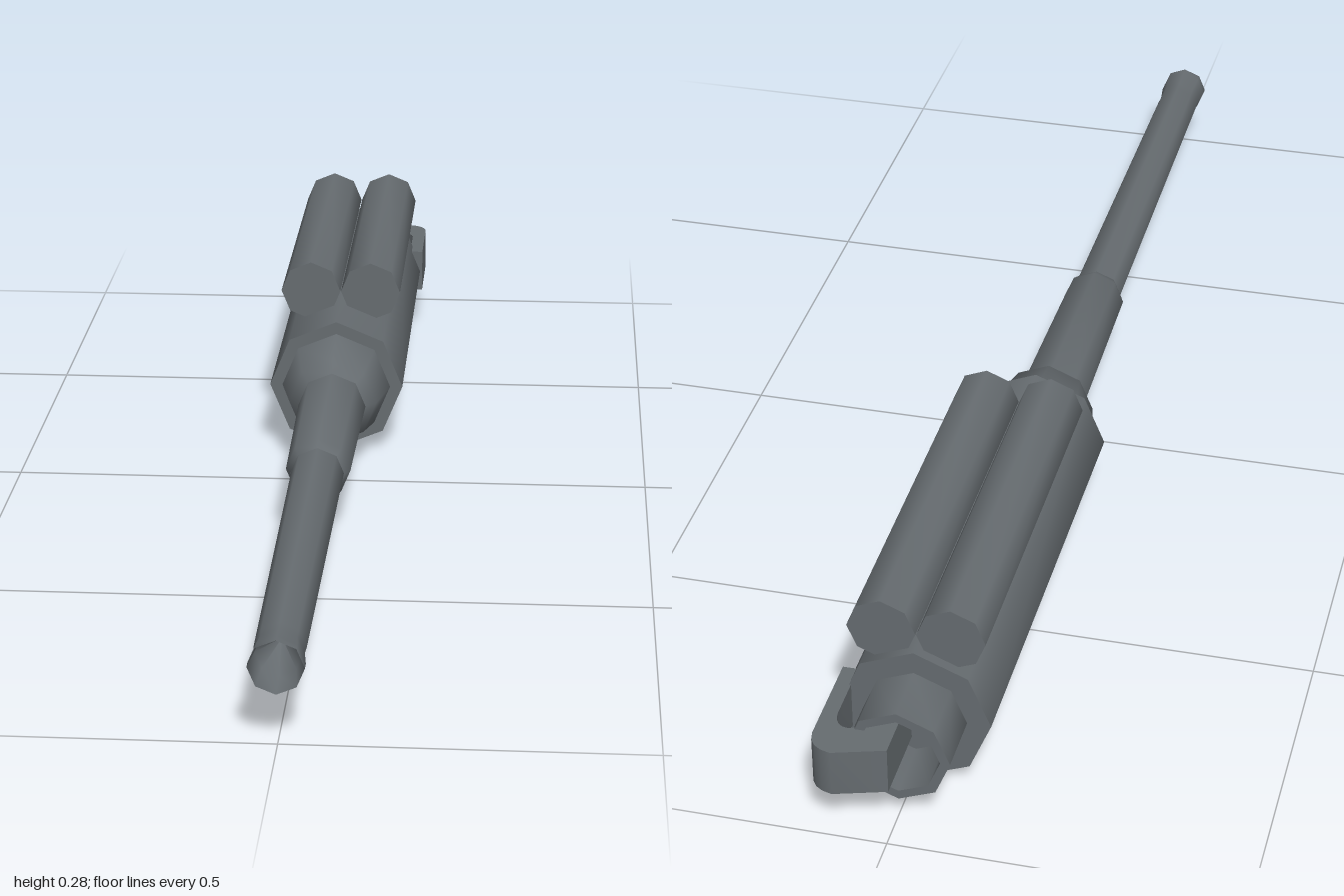
import * as THREE from 'three';
import { toCreasedNormals } from 'three/addons/utils/BufferGeometryUtils.js';

const material = new THREE.MeshStandardMaterial({ color: 0x666c70, side: THREE.DoubleSide });
const AXIS_X = -0.002, AXIS_Y = 0.11;

// Eight-sided turned part along z; profile is [radius, z] from rear to front.
function turned(name, profile, x = AXIS_X, y = AXIS_Y) {
  const points = profile.map(([r, z]) => new THREE.Vector2(r, z));
  const geometry = new THREE.LatheGeometry(points, 8).rotateX(Math.PI / 2);
  const mesh = new THREE.Mesh(toCreasedNormals(geometry, 0.9), material);
  mesh.name = name;
  mesh.position.set(x, y, 0);
  return mesh;
}

export function createModel() {
  const group = new THREE.Group();
  group.name = 'cannon';

  // Main housing
  group.add(turned('housing', [[0, -0.855], [0.108, -0.855], [0.108, -0.153], [0, -0.153]]));

  // Tapered collar
  group.add(turned('collar', [[0.088, -0.153], [0.07, -0.068], [0.053, -0.05]]));

  // Thick sleeve of the barrel
  group.add(turned('barrelSleeve', [[0.054, -0.06], [0.049, 0.25], [0.041, 0.268]]));

  // Slim barrel with a flared, hollow muzzle
  group.add(turned('barrel', [
    [0.04, 0.255], [0.035, 0.93], [0.034, 0.95], [0.038, 0.985], [0.038, 1], [0.032, 0.95], [0, 0.9],
  ]));

  // Open breech ring at the back
  group.add(turned('breechRing', [
    [0.06, -0.855], [0.06, -0.945], [0.074, -0.945], [0.074, -0.855],
  ]));

  // Twin recoil cylinders on top
  for (const side of [-1, 1]) {
    group.add(turned(side < 0 ? 'rightRecoilCylinder' : 'leftRecoilCylinder',
      [[0, -0.84], [0.0487, -0.84], [0.0487, -0.26], [0, -0.26]], AXIS_X + side * 0.0493, 0.238));
  }

  // Hooked breech lever, outlined in plan (x, -z) and extruded upward
  const hook = new THREE.Shape();
  hook.moveTo(0.11, 0.82);
  hook.lineTo(0.11, 0.965);
  hook.quadraticCurveTo(0.108, 0.995, 0.075, 1);
  hook.lineTo(0.002, 0.978);
  hook.lineTo(0.002, 0.86);
  hook.lineTo(0.03, 0.86);
  hook.lineTo(0.03, 0.93);
  hook.lineTo(0.065, 0.945);
  hook.quadraticCurveTo(0.085, 0.945, 0.088, 0.92);
  hook.lineTo(0.088, 0.82);
  hook.closePath();
  const hookGeometry = new THREE.ExtrudeGeometry(hook, { depth: 0.072, bevelEnabled: false, curveSegments: 4 });
  hookGeometry.rotateX(-Math.PI / 2);
  const lever = new THREE.Mesh(toCreasedNormals(hookGeometry, 0.7), material);
  lever.name = 'breechLever';
  lever.position.y = 0.075;
  group.add(lever);

  return group;
}
